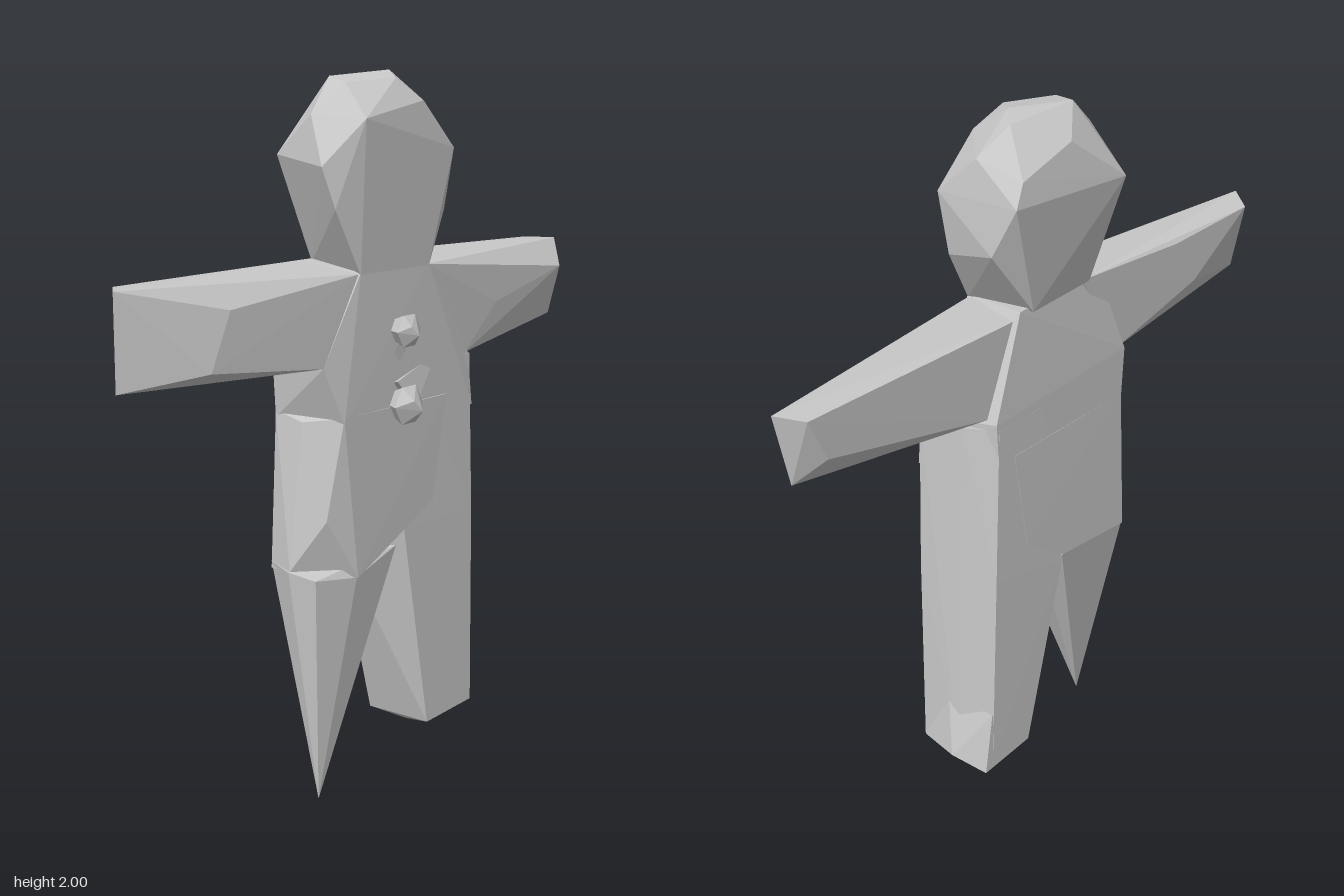
import * as THREE from 'three';
import { ConvexGeometry } from 'three/addons/geometries/ConvexGeometry.js';

const grey = new THREE.MeshStandardMaterial({ color: 0xc8c8c8 });
grey.name = 'plain grey';

// One faceted solid wrapped around a few corner points
function facet(name, points) {
  const geometry = new ConvexGeometry(points.map((p) => new THREE.Vector3(...p)));
  const mesh = new THREE.Mesh(geometry, grey);
  mesh.name = name;
  return mesh;
}

export function createModel() {
  const model = new THREE.Group();
  model.name = 'gingerbreadFigure';

  // Head: flat face, rounded crown, pinched into the neck
  model.add(facet('head', [
    [-0.16, 1.47, 0.09], [0.13, 1.47, 0.09], [-0.13, 1.49, -0.11], [0.12, 1.49, -0.13],
    [-0.25, 1.65, 0.08], [0.21, 1.62, 0.08], [0.245, 1.67, -0.1],
    [-0.28, 1.76, 0.06], [0.22, 1.79, 0.105], [0.235, 1.81, -0.175], [-0.2, 1.78, -0.17],
    [0.2, 1.87, -0.165], [0.0, 1.92, -0.15],
    [-0.16, 1.88, 0.11], [0.09, 1.92, 0.1], [-0.23, 1.89, -0.02], [0.21, 1.9, -0.02],
    [-0.14, 1.97, 0.02], [-0.1, 1.985, -0.07], [0.09, 2.0, -0.02], [0.14, 1.98, -0.07], [0.02, 1.98, 0.06],
  ]));

  // Chest between the shoulders
  model.add(facet('chest', [
    [-0.16, 1.48, 0.09], [0.13, 1.48, 0.09], [-0.18, 1.5, -0.1], [0.16, 1.5, -0.12],
    [-0.3, 1.24, 0.08], [0.33, 1.2, 0.08], [-0.28, 1.24, -0.12], [0.27, 1.22, -0.135],
    [-0.24, 1.08, 0.1], [0.33, 1.05, 0.095], [-0.27, 1.08, -0.12], [0.26, 1.05, -0.135],
  ]));

  // Right side of the belly, cut back at the hip
  model.add(facet('belly', [
    [-0.24, 1.1, 0.1], [0.2, 1.1, 0.1], [-0.275, 1.08, -0.02], [-0.27, 1.1, -0.12], [0.2, 1.1, -0.135],
    [-0.28, 0.82, 0.07], [-0.18, 0.645, 0.095], [0.02, 0.74, 0.095], [0.15, 0.8, 0.095],
    [-0.32, 0.67, -0.03], [-0.295, 0.66, -0.12], [-0.01, 0.69, -0.13], [0.15, 0.8, -0.135],
  ]));

  // Left leg runs straight down from under the arm, bevelled at the back
  model.add(facet('leftLeg', [
    [0.08, 1.2, 0.09], [0.33, 1.2, 0.085], [0.08, 1.2, -0.13], [0.26, 1.2, -0.135], [0.31, 1.2, -0.05],
    [0.02, 0.74, 0.095], [0.335, 0.74, 0.095], [-0.005, 0.67, -0.13], [0.28, 0.74, -0.138],
    [0.13, 0.13, 0.095], [0.34, 0.14, 0.095], [0.34, 0.13, -0.04], [0.3, 0.13, -0.135],
    [0.14, 0.12, -0.13],
  ]));

  // Chipped foot
  model.add(facet('leftFoot', [
    [0.335, 0.33, 0.0], [0.3, 0.3, -0.135], [0.15, 0.2, 0.0],
    [0.13, 0.13, 0.095], [0.34, 0.14, 0.095], [0.37, 0.15, -0.04], [0.33, 0.11, -0.135],
    [0.2, 0.085, -0.04], [0.29, 0.085, -0.05], [0.14, 0.12, -0.13],
  ]));

  // Broken right leg ends in a spike
  model.add(facet('rightLeg', [
    [-0.325, 0.67, -0.03], [-0.315, 0.66, 0.06], [-0.18, 0.645, 0.09], [-0.01, 0.7, 0.09],
    [-0.295, 0.68, -0.12], [-0.03, 0.67, -0.11], [-0.02, 0.62, -0.04], [-0.265, 0.005, 0.02],
  ]));

  // Right arm narrows to an upright edge
  model.add(facet('rightArm', [
    [-0.92, 1.5, -0.03], [-0.93, 1.255, -0.02], [-0.84, 1.495, -0.12],
    [-0.62, 1.43, 0.06], [-0.69, 1.28, 0.06], [-0.3, 1.24, 0.08], [-0.28, 1.24, -0.1],
    [-0.6, 1.34, -0.12], [-0.65, 1.265, -0.05],
    [-0.16, 1.475, 0.085], [-0.5, 1.485, -0.125], [-0.1, 1.5, -0.11], [-0.1, 1.3, 0.085],
  ]));

  // Left arm: bevelled above and below, ending in a small angular hand
  model.add(facet('leftArm', [
    [0.925, 1.475, -0.03], [0.89, 1.475, -0.115], [0.84, 1.4, 0.05], [0.88, 1.27, -0.03],
    [0.84, 1.25, 0.01], [0.83, 1.35, -0.11], [0.7, 1.24, 0.025], [0.48, 1.33, 0.07],
    [0.33, 1.2, 0.07], [0.32, 1.2, -0.01], [0.29, 1.24, -0.12],
    [0.13, 1.475, 0.085], [0.2, 1.49, -0.13], [0.1, 1.3, 0.08],
  ]));

  // Buttons: lumpy six-sided gems on the chest
  [[-0.005, 1.31, 0.05, 0.165, 'upperButton'], [-0.005, 1.105, 0.06, 0.178, 'lowerButton']].forEach(([x, y, r, tip, name]) => {
    const points = [[x, y - r * 0.2, tip], [x - r * 0.4, y + r * 0.3, tip - 0.01]];
    for (let i = 0; i < 6; i++) {
      const a = (i * Math.PI) / 3;
      points.push([x + r * Math.cos(a), y + r * Math.sin(a), 0.13]);
      points.push([x + r * 0.5 * Math.cos(a), y + r * 0.5 * Math.sin(a), 0.07]);
    }
    model.add(facet(name, points));
  });

  // Thin ridges trailing from the buttons
  model.add(facet('upperRidge', [
    [0.04, 1.29, 0.11], [0.06, 1.29, 0.08], [-0.02, 1.27, 0.1], [-0.05, 1.15, 0.08], [0.0, 1.2, 0.08],
  ]));
  model.add(facet('lowerRidge', [
    [-0.03, 1.17, 0.11], [0.04, 1.09, 0.12], [-0.03, 1.16, 0.07], [0.04, 1.08, 0.07], [0.17, 1.22, 0.085],
  ]));

  return model;
}
